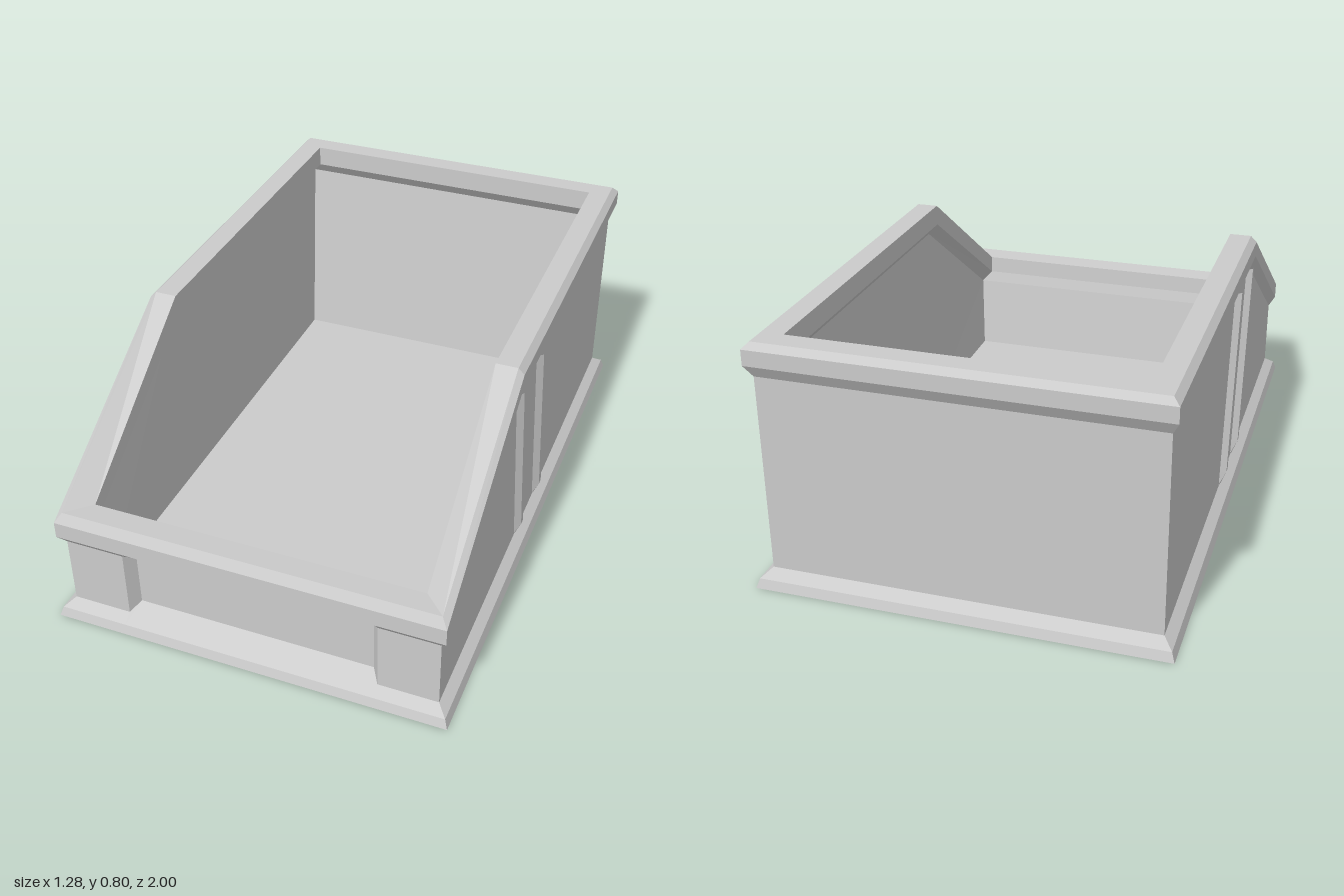
import * as THREE from 'three';

const material = new THREE.MeshStandardMaterial({ color: 0xcccccc, flatShading: true });

// One loop around the bin, anticlockwise from above.
// x: half width, zb/yb: back depth and height, zf/yf: front depth and height,
// recess: [z, y] of the middle of the front (straight when left out)
function ring({ x, zb, yb, zf, yf, recess }) {
  const [rz, ry] = recess || [zf, yf];
  return [
    [x, yf, zf], [x, yb, 0.3], [x, yb, zb],
    [-x, yb, zb], [-x, yb, 0.3], [-x, yf, zf],
    [-0.41, yf, zf], [-0.385, ry, rz], [0.385, ry, rz], [0.41, yf, zf],
  ];
}

function meshFrom(name, points, index) {
  const geometry = new THREE.BufferGeometry();
  geometry.setAttribute('position', new THREE.Float32BufferAttribute(points.flat(), 3));
  geometry.setIndex(index);
  const flat = geometry.toNonIndexed();
  flat.computeVertexNormals();
  const mesh = new THREE.Mesh(flat, material);
  mesh.name = name;
  return mesh;
}

// Skin a stack of equal loops
function loft(name, loops) {
  const n = loops[0].length, index = [];
  for (let k = 0; k < loops.length - 1; k++) {
    for (let i = 0; i < n; i++) {
      const a = k * n + i, b = k * n + (i + 1) % n;
      index.push(a, b, b + n, a, b + n, a + n);
    }
  }
  return meshFrom(name, loops.flat(), index);
}

// Flat panel filling a loop, as a fan from its back corner
function cap(name, loop, up) {
  const n = loop.length, index = [];
  for (let i = 1; i < n - 1; i++) {
    const a = (2 + i) % n, b = (3 + i) % n;
    index.push(2, ...(up ? [a, b] : [b, a]));
  }
  return meshFrom(name, loop, index);
}

// Slanted tapered rib on a side wall; z is its centre at the foot
function rib(name, side, z) {
  const section = (y, x, shift, half, halfOut) => [
    [0.595, y, z + shift + half], [x, y, z + shift + halfOut],
    [x, y, z + shift - halfOut], [0.595, y, z + shift - half],
  ];
  const loops = [
    section(0.05, 0.60, 0, 0.03, 0.012),
    section(0.10, 0.62, 0.008, 0.03, 0.012),
    section(0.70, 0.62, 0.117, 0.03, 0.012),
  ];
  // Mirror by a half turn of the winding as well as of x
  const placed = loops.map((l) => (side > 0 ? l : l.map(([x, y, w]) => [-x, y, w]).reverse()));
  return loft(name, placed);
}

export function createModel() {
  const group = new THREE.Group();

  // Outer profile, from the ground up
  const ground = ring({ x: 0.64, zb: -1, yb: 0, zf: 1, yf: 0 });
  const skirt = ring({ x: 0.63, zb: -0.99, yb: 0.03, zf: 0.99, yf: 0.03 });
  const wallFoot = ring({ x: 0.6, zb: -0.955, yb: 0.055, zf: 0.957, yf: 0.055, recess: [0.92, 0.08] });
  const wallTop = ring({ x: 0.6, zb: -0.955, yb: 0.69, zf: 0.957, yf: 0.285, recess: [0.92, 0.255] });
  const lipLow = ring({ x: 0.62, zb: -0.978, yb: 0.73, zf: 0.98, yf: 0.315 });
  const lipHigh = ring({ x: 0.62, zb: -0.978, yb: 0.78, zf: 0.98, yf: 0.37 });
  const rimOuter = ring({ x: 0.6, zb: -0.96, yb: 0.8, zf: 0.96, yf: 0.4 });

  // Inner profile, from the rim down to the floor
  const rimInner = ring({ x: 0.53, zb: -0.89, yb: 0.8, zf: 0.885, yf: 0.395 });
  const rimUnder = ring({ x: 0.53, zb: -0.89, yb: 0.73, zf: 0.88, yf: 0.335 });
  const innerTop = ring({ x: 0.565, zb: -0.92, yb: 0.69, zf: 0.87, yf: 0.295 });
  const floor = ring({ x: 0.55, zb: -0.84, yb: 0.04, zf: 0.83, yf: 0.04 });

  group.add(
    cap('underside', ground, false),
    loft('baseFlange', [ground, skirt, wallFoot]),
    loft('outerWalls', [wallFoot, wallTop]),
    loft('rim', [wallTop, lipLow, lipHigh, rimOuter, rimInner, rimUnder, innerTop]),
    loft('innerWalls', [innerTop, floor]),
    cap('floor', floor, true),
  );

  // Two ribs on each side
  for (const side of [1, -1]) {
    const label = side > 0 ? 'left' : 'right';
    group.add(rib(label + 'FrontRib', side, 0.15), rib(label + 'RearRib', side, -0.075));
  }
  return group;
}
